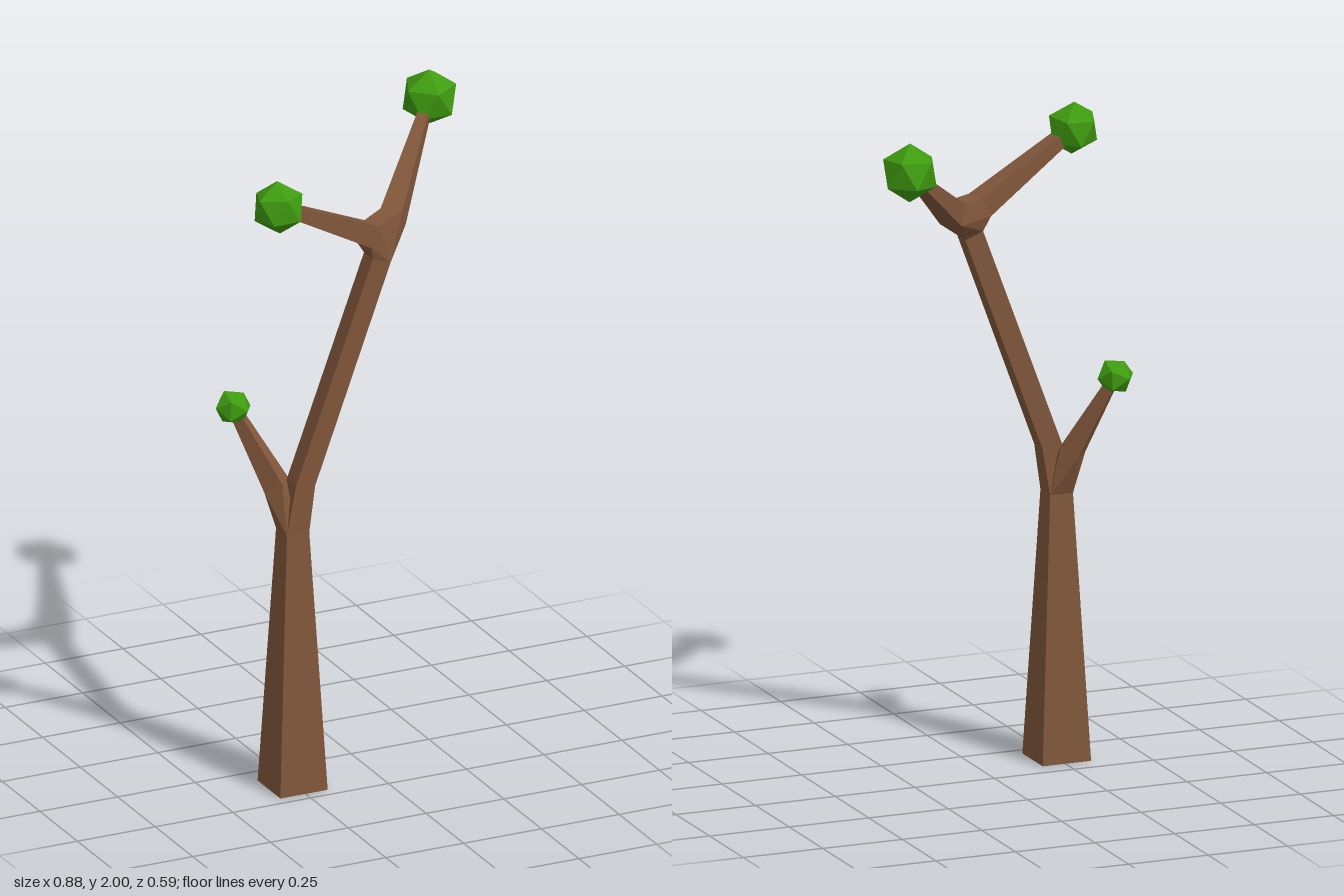
import * as THREE from 'three';
import { ConvexGeometry } from 'three/addons/geometries/ConvexGeometry.js';

const V = (x, y, z) => new THREE.Vector3(x, y, z);

// Square cross-section: centre, direction of growth, half width
function ring(c, dir, r) {
  const d = dir.clone().normalize();
  const vertical = Math.abs(d.z) < 0.01;
  const u = vertical ? V(0, 0, 1) : d.clone().cross(V(0, 1, 0)).normalize();
  const v = d.clone().cross(u).normalize();
  return [[-1, -1], [1, -1], [1, 1], [-1, 1]].map(([a, b]) =>
    c.clone().addScaledVector(u, a * r).addScaledVector(v, b * r));
}

export function createModel() {
  const tree = new THREE.Group();
  tree.name = 'tree';
  const bark = new THREE.MeshStandardMaterial({ color: 0x80563a, flatShading: true });
  const leaf = new THREE.MeshStandardMaterial({ color: 0x3f9c10, flatShading: true });

  // Faceted wood piece spanning two or three cross-sections
  const wood = (name, ...rings) => {
    const mesh = new THREE.Mesh(new ConvexGeometry(rings.flat()), bark);
    mesh.name = name;
    tree.add(mesh);
  };

  // Leaf ball centres and radii
  const balls = {
    rightLeafBall: [V(-0.343, 1.86, 0.228), 0.08],
    leftLeafBall: [V(0.357, 1.915, -0.217), 0.087],
    sideLeafBall: [V(-0.387, 1.163, 0.017), 0.055],
  };

  // Trunk and its leaning upper part
  const up = V(0, 1, 0), lean = V(0.24, 0.66, 0);
  const base = ring(V(-0.255, 0, 0.14), up, 0.076);
  const neck = ring(V(-0.255, 0.8, 0.14), up, 0.036);
  const bend = ring(V(-0.228, 0.945, 0.14), V(0.1, 0.6, 0), 0.031);
  const top = ring(V(0.017, 1.605, 0.14), lean, 0.03);
  wood('trunk', base, neck);
  wood('upperTrunk', bend, top);

  // Joint and branch towards each leaf ball
  const grow = (name, from, r0, ball, r1) => {
    const dir = ball.clone().sub(from);
    const start = ring(from, dir, r0);
    wood(name, start, ring(ball, dir, r1));
    return start;
  };
  const side = grow('sideBranch', V(-0.29, 0.935, 0.1), 0.031, balls.sideLeafBall[0], 0.014);
  const right = grow('rightBranch', V(-0.015, 1.685, 0.143), 0.033, balls.rightLeafBall[0], 0.018);
  const left = grow('leftBranch', V(0.103, 1.69, 0.067), 0.033, balls.leftLeafBall[0], 0.013);
  wood('lowerTrunkJoint', neck, bend);
  wood('lowerSideJoint', neck, side);
  wood('upperFork', top, right, left);

  // Leaf balls with a vertex pointing out along each branch
  const pole = V(0, 1, (1 + Math.sqrt(5)) / 2).normalize();
  const outward = [V(-0.33, 0.175, 0.085), V(0.254, 0.225, -0.284), V(-0.1, 0.23, -0.085)];
  Object.entries(balls).forEach(([name, [c, r]], i) => {
    const mesh = new THREE.Mesh(new THREE.IcosahedronGeometry(r, 0), leaf);
    mesh.quaternion.setFromUnitVectors(pole, outward[i].normalize());
    mesh.position.copy(c);
    mesh.name = name;
    tree.add(mesh);
  });
  return tree;
}
